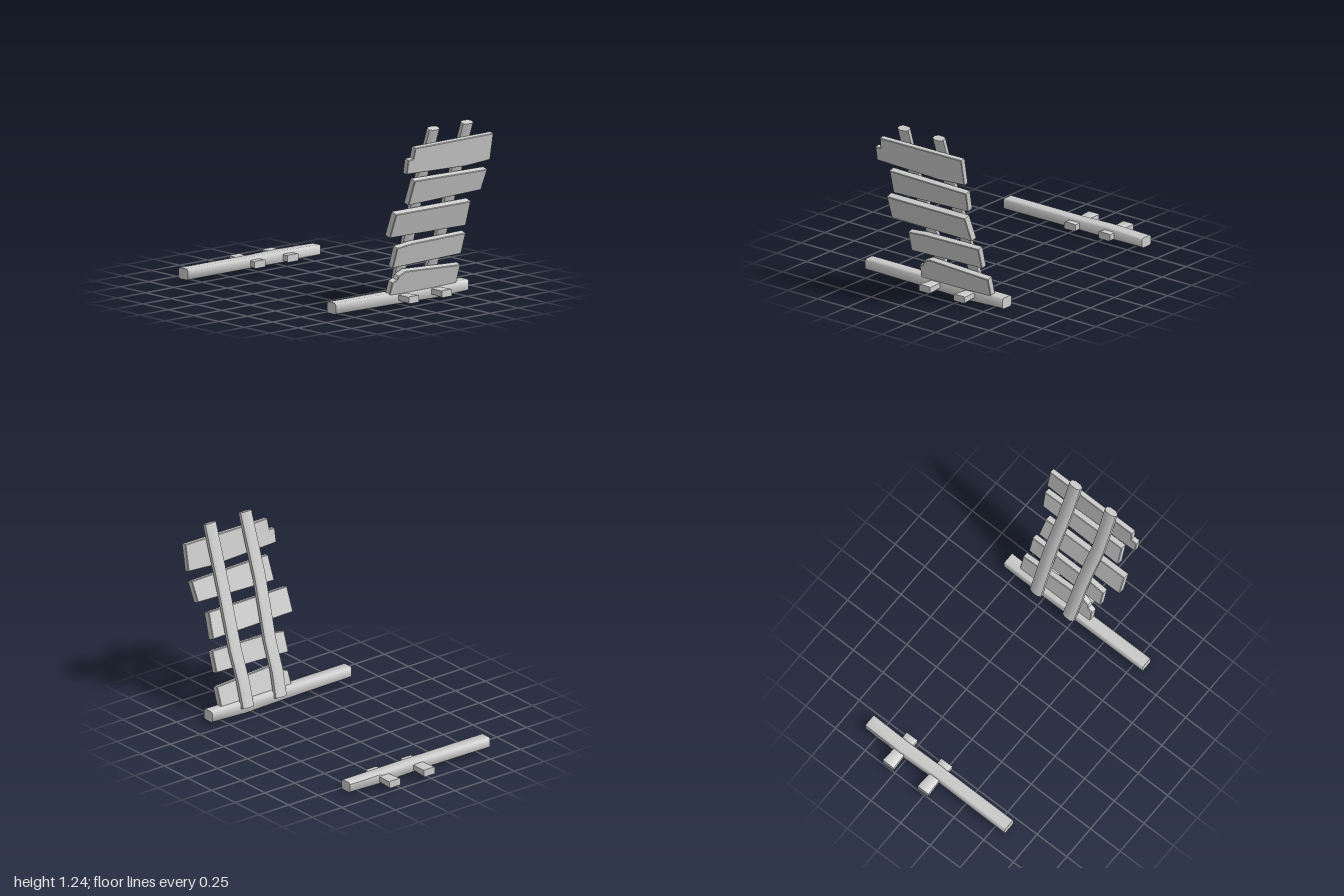
import * as THREE from 'three';
import { toCreasedNormals } from 'three/addons/utils/BufferGeometryUtils.js';

const mat = new THREE.MeshStandardMaterial({ color: 0xcccccc, side: THREE.DoubleSide });
const V = (x, y, z) => new THREE.Vector3(x, y, z);

// Chamfered rectangle, half size 1, corner cut c
const section = c => {
  const k = 1 - c;
  return [[1, -k], [1, k], [k, 1], [-k, 1], [-1, k], [-1, -k], [-k, -1], [k, -1]];
};

// Capped loft; stations are [x, y, z, sizeU, sizeV], and u cross v points along the path
function loft(name, stations, u, v, cut) {
  const ring = section(cut), n = ring.length, pos = [], idx = [];
  const add = p => pos.push(p.x, p.y, p.z);
  for (const [x, y, z, su, sv] of stations)
    for (const [a, b] of ring)
      add(V(x, y, z).addScaledVector(u, a * su / 2).addScaledVector(v, b * sv / 2));
  for (let s = 0; s < stations.length - 1; s++)
    for (let i = 0; i < n; i++) {
      const a = s * n + i, b = s * n + (i + 1) % n;
      idx.push(a, b, b + n, a, b + n, a + n);
    }
  const last = (stations.length - 1) * n;
  for (let i = 1; i < n - 1; i++) idx.push(0, i + 1, i, last, last + i, last + i + 1);
  const g = new THREE.BufferGeometry();
  g.setAttribute('position', new THREE.Float32BufferAttribute(pos, 3));
  g.setIndex(idx);
  const mesh = new THREE.Mesh(toCreasedNormals(g, 0.9), mat);
  mesh.name = name;
  return mesh;
}

// Leaning board: outline of [z, y] points, middle line from xBottom to xTop
function plank(name, outline, xBottom, xTop, thick) {
  const bevel = 0.004;
  const shape = new THREE.Shape(outline.map(([z, y]) => new THREE.Vector2(-z, y)));
  const g = new THREE.ExtrudeGeometry(shape, {
    depth: thick - 2 * bevel, bevelThickness: bevel, bevelSize: bevel, bevelOffset: -bevel, bevelSegments: 1
  });
  g.translate(0, 0, bevel - thick / 2).rotateY(Math.PI / 2);
  const ys = outline.map(p => p[1]), lo = Math.min(...ys), hi = Math.max(...ys);
  const slope = (xTop - xBottom) / (hi - lo), p = g.attributes.position;
  for (let i = 0; i < p.count; i++) {
    const off = p.getX(i), y = p.getY(i);
    p.setXY(i, xBottom + (y - lo) * slope + off, y - off * slope);
  }
  const mesh = new THREE.Mesh(toCreasedNormals(g, 0.5), mat);
  mesh.name = name;
  return mesh;
}

export function createModel() {
  const group = new THREE.Group();
  const X = V(1, 0, 0), Y = V(0, 1, 0), Z = V(0, 0, 1);

  // Ground beams
  group.add(loft('rightBeam', [
    [-0.84, 0.055, -0.59, 0.09, 0.07], [-0.845, 0.055, -0.3, 0.09, 0.08],
    [-0.838, 0.056, 0, 0.085, 0.075], [-0.84, 0.055, 0.585, 0.09, 0.075]], X, Y, 0.25));
  group.add(loft('leftBeam', [
    [0.615, 0.051, -0.59, 0.09, 0.076], [0.612, 0.045, -0.3, 0.085, 0.088],
    [0.612, 0.049, 0, 0.085, 0.082], [0.612, 0.053, 0.58, 0.085, 0.076]], X, Y, 0.25));

  // Cross pegs through the beams
  for (const z of [-0.305, -0.013]) {
    group.add(loft('rightPeg', [
      [-1, 0.052, z, 0.05, 0.092], [-0.875, 0.052, z, 0.042, 0.08],
      [-0.75, 0.05, z, 0.05, 0.094]], Y, Z, 0.15));
    group.add(loft('leftPeg', [
      [0.6, 0.052, z, 0.04, 0.08], [0.67, 0.052, z, 0.042, 0.08],
      [0.765, 0.051, z, 0.048, 0.092]], Y, Z, 0.15));
  }

  // Leaning posts, gently wavering along z
  const lean = 0.33, across = V(Math.cos(lean), -Math.sin(lean), 0);
  const spine = [[0.558, 0.05], [0.608, 0.22], [0.685, 0.42], [0.752, 0.62], [0.825, 0.82], [0.895, 1.02], [0.967, 1.237]];
  const waver = {
    frontPost: [-0.03, -0.022, -0.022, -0.01, 0.003, 0.002, -0.002],
    backPost: [-0.305, -0.305, -0.31, -0.307, -0.3, -0.298, -0.3]
  };
  for (const [name, zs] of Object.entries(waver))
    group.add(loft(name, spine.map(([x, y], i) => [x, y, zs[i], 0.09, 0.052]), Z, across, 0.5));

  // Boards, bottom to top
  const boards = [
    [[[0.105, 0.07], [0.1, 0.17], [0.065, 0.185], [0.055, 0.21], [0, 0.237], [-0.49, 0.212], [-0.485, 0.07]], 0.628, 0.678, 0.045],
    [[[0.135, 0.28], [0.13, 0.42], [0, 0.434], [-0.47, 0.44], [-0.467, 0.295]], 0.698, 0.745, 0.045],
    [[[0.235, 0.512], [0.23, 0.678], [-0.43, 0.675], [-0.44, 0.502]], 0.775, 0.837, 0.05],
    [[[0.15, 0.732], [0.14, 0.903], [-0.505, 0.89], [-0.488, 0.748]], 0.868, 0.922, 0.046],
    [[[0.23, 0.96], [0.23, 1.058], [0.186, 1.06], [0.18, 1.135], [-0.51, 1.138], [-0.51, 0.955], [-0.3, 0.942]], 0.94, 0.976, 0.04]
  ];
  boards.forEach((b, i) => group.add(plank('board' + (i + 1), ...b)));
  return group;
}
